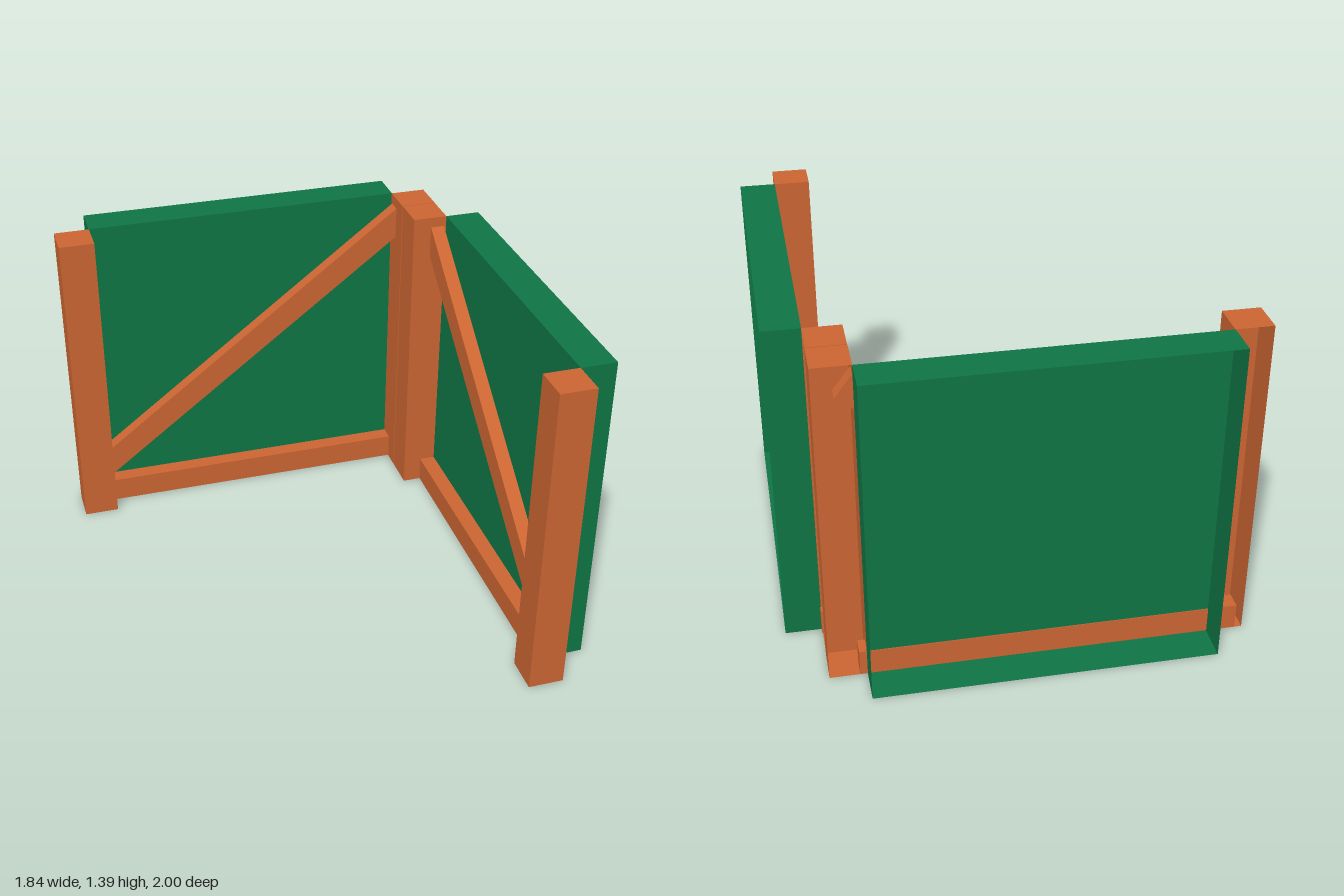
import * as THREE from 'three';

const H = 1.39;        // wall height
const HALF = 0.695;    // half the clear width between posts
const POST = 0.15;     // post width and tray depth

const wood = new THREE.MeshStandardMaterial({ color: 0xcc6633, side: THREE.DoubleSide, flatShading: true });
const green = new THREE.MeshStandardMaterial({ color: 0x0f7545, side: THREE.DoubleSide, flatShading: true });

function box(name, material, size, position) {
  const mesh = new THREE.Mesh(new THREE.BoxGeometry(...size), material);
  mesh.name = name;
  mesh.position.set(...position);
  return mesh;
}

// Box without its rear (-z) face
function openBox(...args) {
  const mesh = box(...args);
  const g = mesh.geometry;
  g.setIndex(Array.from(g.index.array).slice(0, 30));
  g.clearGroups();
  return mesh;
}

// Wall section: panel plane at z = 0, outside towards -z; brace is low on the side given by lowSide
function createWall(name, lowSide) {
  const wall = new THREE.Group();
  wall.name = name;

  // Shallow panel tray, open to the outside
  wall.add(openBox('panel', green, [HALF * 2, H, POST], [0, H / 2, -POST / 2]));

  // Hollow posts at both ends
  for (const s of [-1, 1]) {
    wall.add(openBox(s < 0 ? 'postA' : 'postB', wood, [POST + 0.002, H, POST],
      [s * (HALF + POST / 2), H / 2, POST / 2]));
  }

  // Bottom rail, running into the posts
  wall.add(box('bottomRail', wood, [1.54, 0.11, 0.073], [lowSide * 0.045, 0.058, 0.0335]));

  // Diagonal brace
  const brace = box('diagonalBrace', wood, [1.85, 0.112, 0.06], [lowSide * 0.007, 0.742, 0.04]);
  brace.rotation.z = -lowSide * Math.atan(0.759);
  wall.add(brace);
  return wall;
}

export function createModel() {
  const model = new THREE.Group();
  model.name = 'cornerFence';

  const back = createWall('backWall', -1);
  back.position.set(-0.075, 0, -0.85);

  const side = createWall('sideWall', 1);
  side.rotation.y = -Math.PI / 2;
  side.position.set(0.77, 0, 0.15);

  model.add(back, side);
  return model;
}
